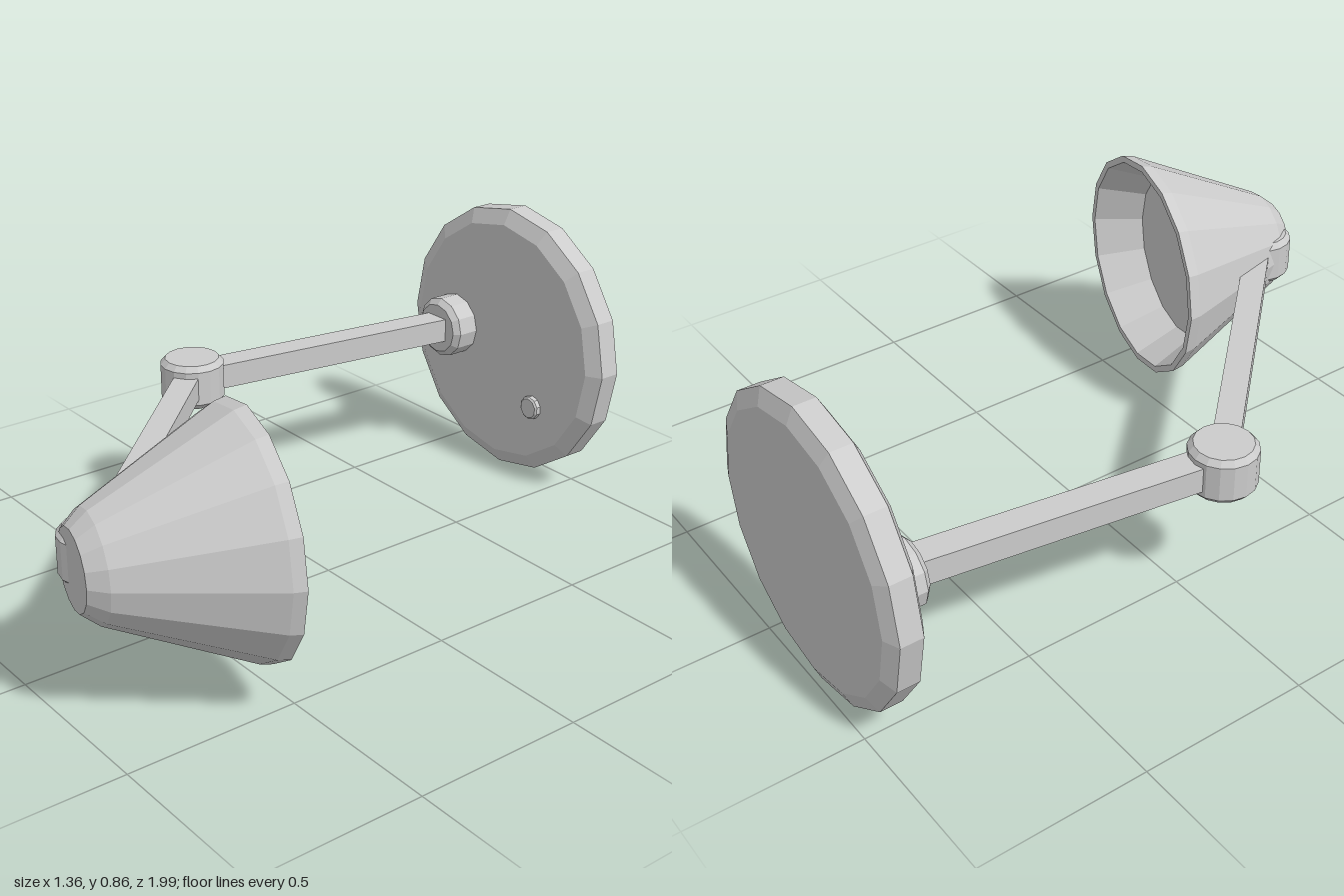
import * as THREE from 'three';

const Y = 0.433; // height of the lamp's centre line
const material = new THREE.MeshStandardMaterial({ color: 0xcccccc, flatShading: true });

export function createModel() {
  const model = new THREE.Group();

  function add(name, geometry, x, y, z) {
    const mesh = new THREE.Mesh(geometry, material);
    mesh.name = name;
    mesh.position.set(x, y, z);
    model.add(mesh);
    return mesh;
  }

  // Faceted turned part, profile given as [radius, height] from bottom to top
  const turned = (profile, sides) =>
    new THREE.LatheGeometry(profile.map(([r, h]) => new THREE.Vector2(r, h)), sides);

  // Turned part laid down so that its axis points forward, then turned about y
  function addForward(name, profile, sides, x, y, z, angle = 0) {
    const mesh = add(name, turned(profile, sides), x, y, z);
    mesh.rotation.set(Math.PI / 2, angle, 0, 'YXZ');
    return mesh;
  }

  // Square bar between two points of the horizontal centre plane
  function addArm(name, [x1, z1], [x2, z2], width, height) {
    const length = Math.hypot(x2 - x1, z2 - z1);
    const arm = add(name, new THREE.BoxGeometry(width, height, length),
      (x1 + x2) / 2, Y + 0.003, (z1 + z2) / 2);
    arm.rotation.y = Math.atan2(x2 - x1, z2 - z1);
  }

  // Wall plate with bevelled edges
  addForward('wallPlate',
    [[0, 0], [0.385, 0], [0.432, 0.02], [0.432, 0.085], [0.385, 0.11], [0, 0.11]],
    16, -0.25, 0.432, -1);

  // Arm socket and switch on the plate
  addForward('armSocket', [[0, 0], [0.098, 0], [0.098, 0.07], [0.08, 0.087], [0, 0.087]],
    12, -0.455, Y, -0.892);
  addForward('switchButton', [[0, 0], [0.038, 0], [0.038, 0.017], [0.032, 0.022], [0, 0.022]],
    10, -0.085, 0.255, -0.892);

  // Hinges: the elbow and the one at the shade
  const socket = [-0.452, -0.83], elbow = [-0.585, 0.068], head = [0.19, 0.873];
  const hinge = [[0, -0.069], [0.082, -0.069], [0.097, -0.052], [0.097, 0.052], [0.082, 0.069], [0, 0.069]];
  const nut = [[0, -0.075], [0.02, -0.075], [0.02, -0.085], [0.04, -0.085], [0.04, -0.06]];
  for (const [name, [x, z]] of [['elbow', elbow], ['head', head]]) {
    add(name + 'Hinge', turned(hinge, 16), x, Y + 0.003, z);
    if (name === 'elbow') add('elbowNut', turned(nut, 12), x, Y + 0.003, z);
  }

  // Two arms
  addArm('lowerArm', socket, elbow, 0.083, 0.075);
  addArm('upperArm', elbow, head, 0.075, 0.068);

  // Conical shade with a recessed diffuser
  addForward('shade', [
    [0, 0.14], [0.262, 0.14], [0.325, 0], [0.345, 0],
    [0.337, 0.035], [0.15, 0.42], [0.11, 0.467], [0, 0.467],
  ], 16, 0.338, Y + 0.002, 0.515, -0.205);

  return model;
}
